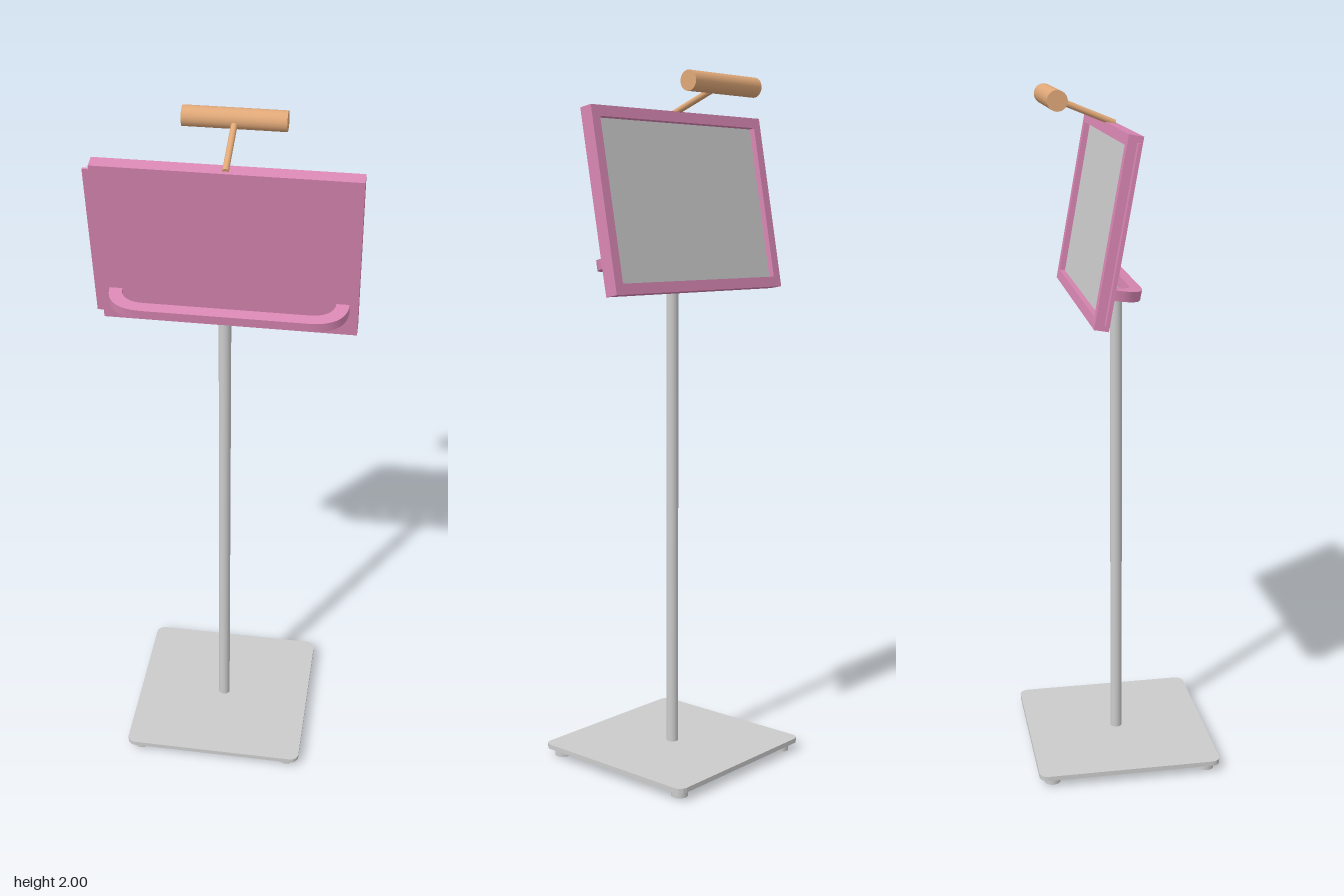
import * as THREE from 'three';
import { toCreasedNormals } from 'three/addons/utils/BufferGeometryUtils.js';

const grey = new THREE.MeshStandardMaterial({ color: 0xcccccc });
const pink = new THREE.MeshStandardMaterial({ color: 0xd987b3 });
const copper = new THREE.MeshStandardMaterial({ color: 0xe0a878 });

function add(parent, name, geometry, material, x = 0, y = 0, z = 0) {
  const mesh = new THREE.Mesh(geometry, material);
  mesh.name = name;
  mesh.position.set(x, y, z);
  parent.add(mesh);
  return mesh;
}

function extrude(shape, depth) {
  const geometry = new THREE.ExtrudeGeometry(shape, { depth, bevelEnabled: false, curveSegments: 12 });
  return toCreasedNormals(geometry, 0.6);
}

// Rectangle centred on the origin, with optional rounded corners
function rectangle(w, h, r = 0, Type = THREE.Shape) {
  const s = new Type();
  const x = w / 2, y = h / 2;
  if (!r) {
    return s.moveTo(-x, -y).lineTo(x, -y).lineTo(x, y).lineTo(-x, y).closePath(), s;
  }
  s.absarc(x - r, -y + r, r, -Math.PI / 2, 0);
  s.absarc(x - r, y - r, r, 0, Math.PI / 2);
  s.absarc(-x + r, y - r, r, Math.PI / 2, Math.PI);
  s.absarc(-x + r, -y + r, r, Math.PI, Math.PI * 1.5);
  s.closePath();
  return s;
}

export function createModel() {
  const model = new THREE.Group();
  model.name = 'displayStand';
  const cx = 0.01;

  // Base plate on four round feet
  const plate = add(model, 'basePlate', extrude(rectangle(0.55, 0.547, 0.026), 0.014), grey, cx, 0.038, -0.001);
  plate.rotation.x = Math.PI / 2;
  for (const sx of [-1, 1]) {
    for (const sz of [-1, 1]) {
      add(model, 'foot', new THREE.CylinderGeometry(0.024, 0.024, 0.025, 24), grey, cx + sx * 0.234, 0.0125, sz * 0.234);
    }
  }

  // Pole
  add(model, 'pole', new THREE.CylinderGeometry(0.0175, 0.0175, 1.436, 32), grey, cx, 0.748, 0);

  // Tilted panel: front shell, rear frame and recessed screen
  const panel = new THREE.Group();
  panel.name = 'panel';
  panel.position.set(cx, 1.65, -0.057);
  panel.rotation.x = 0.18;
  model.add(panel);
  const w = 0.722, h = 0.51, rim = 0.03;
  add(panel, 'panelShell', new THREE.BoxGeometry(w, h, 0.02), pink, 0, 0, 0.01);
  const frame = rectangle(w, h);
  frame.holes.push(rectangle(w - 2 * rim, h - 2 * rim, 0, THREE.Path));
  add(panel, 'screenFrame', extrude(frame, 0.02), pink, 0, 0, -0.02);
  add(panel, 'screen', new THREE.BoxGeometry(w - 2 * rim, h - 2 * rim, 0.004), grey, 0, 0, -0.001);
  add(panel, 'sideStrip', new THREE.BoxGeometry(0.024, 0.475, 0.007), pink, -0.369, 0, 0.0085);

  // Bowed handle across the front, resting on the pole
  const bow = new THREE.Shape();
  bow.moveTo(-0.337, 0.019);
  bow.bezierCurveTo(-0.337, 0.085, -0.295, 0.112, -0.23, 0.112);
  bow.lineTo(0.23, 0.112);
  bow.bezierCurveTo(0.295, 0.112, 0.337, 0.085, 0.337, 0.019);
  bow.lineTo(0.3, 0.019);
  bow.bezierCurveTo(0.3, 0.055, 0.275, 0.077, 0.23, 0.077);
  bow.lineTo(-0.23, 0.077);
  bow.bezierCurveTo(-0.275, 0.077, -0.3, 0.055, -0.3, 0.019);
  const handle = add(panel, 'handle', extrude(bow, 0.028), pink, 0, -0.147, 0);
  handle.rotation.x = Math.PI / 2;

  // Lamp on a slim arm above the screen
  const lampEnd = new THREE.Vector3(cx, 1.972, -0.182);
  const armStart = new THREE.Vector3(cx, 1.9, -0.003);
  const direction = lampEnd.clone().sub(armStart);
  const arm = add(model, 'lampArm', new THREE.CylinderGeometry(0.009, 0.009, direction.length(), 20), copper);
  arm.position.copy(armStart).add(lampEnd).multiplyScalar(0.5);
  arm.quaternion.setFromUnitVectors(new THREE.Vector3(0, 1, 0), direction.normalize());
  const lamp = add(model, 'lamp', new THREE.CylinderGeometry(0.028, 0.028, 0.284, 32), copper, cx - 0.001, 1.972, -0.182);
  lamp.rotation.z = Math.PI / 2;

  return model;
}
